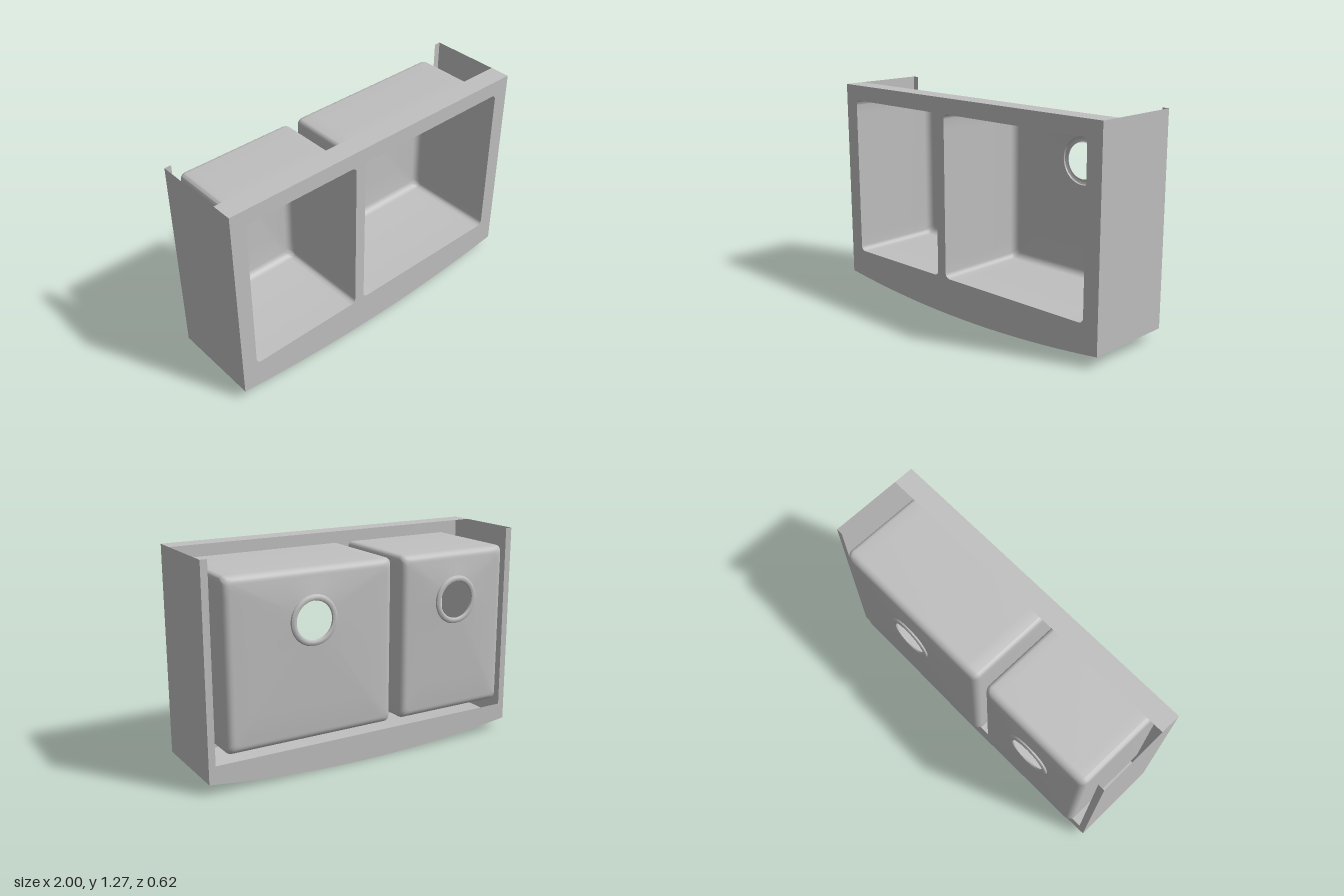
import * as THREE from 'three';
import { toCreasedNormals } from 'three/addons/utils/BufferGeometryUtils.js';

const FRONT = 0.31, BACK = -0.235, TOP = 1.275, SIDE_Y = 0.065;
const steel = new THREE.MeshStandardMaterial({ color: 0xc0c0c0, side: THREE.DoubleSide });
steel.name = 'brushed steel grey';

function part(name, geometry) {
  const mesh = new THREE.Mesh(geometry, steel);
  mesh.name = name;
  return mesh;
}

// Skin a list of equal-length point rows; closed rows wrap around
function skin(rows, closed) {
  const n = rows[0].length, index = [];
  for (let i = 0; i < rows.length - 1; i++) {
    for (let j = 0; j < (closed ? n : n - 1); j++) {
      const k = (j + 1) % n, a = i * n, b = a + n;
      index.push(a + j, b + j, a + k, a + k, b + j, b + k);
    }
  }
  const g = new THREE.BufferGeometry();
  g.setAttribute('position', new THREE.Float32BufferAttribute(rows.flat(2), 3));
  g.setIndex(index);
  return toCreasedNormals(g, 0.6);
}

// Rounded rectangle as evenly divided points, counter-clockwise
function roundedRect(x0, x1, y0, y1, r) {
  const corners = [[x1 - r, y0 + r, -0.5], [x1 - r, y1 - r, 0], [x0 + r, y1 - r, 0.5], [x0 + r, y0 + r, 1]];
  const pts = [];
  corners.forEach(([cx, cy, start], c) => {
    for (let i = 0; i <= 6; i++) {
      const a = (start + i / 12) * Math.PI;
      pts.push([cx + r * Math.cos(a), cy + r * Math.sin(a)]);
    }
    const [nx, ny, ns] = corners[(c + 1) % 4];
    const [ax, ay] = pts[pts.length - 1];
    const bx = nx + r * Math.cos(ns * Math.PI), by = ny + r * Math.sin(ns * Math.PI);
    for (let i = 1; i < 14; i++) pts.push([ax + (bx - ax) * i / 14, ay + (by - ay) * i / 14]);
  });
  return pts;
}

const bottomY = x => SIDE_Y * x * x;

// Points along the bowed lower edge, left to right
function bowedEdge() {
  return Array.from({ length: 33 }, (_, i) => {
    const x = -1 + i / 16;
    return new THREE.Vector2(x, bottomY(x));
  });
}

// Bowl: straight walls, rounded floor edge, floor sloping to a recessed open drain
function makeBowl(name, { x0, x1, y0, y1, drainX, drainY }) {
  const R = 0.045, rows = [];
  const ring = (inset, z) => roundedRect(x0 + inset, x1 - inset, y0 + inset, y1 - inset, 0.03).map(([x, y]) => [x, y, z]);
  rows.push(ring(0, FRONT));
  for (let i = 0; i <= 6; i++) {
    const a = i / 12 * Math.PI;
    rows.push(ring(R * (1 - Math.cos(a)), BACK - R * Math.sin(a)));
  }
  const edge = rows[rows.length - 1];
  const circle = (r, z) => edge.map(([x, y]) => {
    const a = Math.atan2(y - drainY, x - drainX);
    return [drainX + r * Math.cos(a), drainY + r * Math.sin(a), z];
  });
  const lip = circle(0.142, -0.296);
  for (const t of [0.33, 0.67]) {
    rows.push(edge.map((p, j) => p.map((v, k) => v + (lip[j][k] - v) * t)));
  }
  rows.push(lip);
  const group = new THREE.Group();
  group.name = name;
  group.add(part('bowlShell', skin(rows, true)));
  const drain = [[0.142, -0.296], [0.139, -0.304], [0.133, -0.308], [0.12, -0.31], [0.111, -0.306], [0.108, -0.298]];
  group.add(part('drainRing', skin(drain.map(([r, z]) => circle(r, z)), true)));
  return group;
}

export function createModel() {
  const model = new THREE.Group();
  model.name = 'doubleBowlSink';
  const bowls = [
    ['smallBowl', { x0: -0.908, x1: -0.187, y0: 0.22, y1: 1.183, drainX: -0.55, drainY: 0.9 }],
    ['largeBowl', { x0: -0.122, x1: 0.905, y0: 0.22, y1: 1.183, drainX: 0.39, drainY: 0.9 }],
  ];

  // Face panel with bowl openings
  const face = new THREE.Shape([...bowedEdge(), new THREE.Vector2(1, TOP), new THREE.Vector2(-1, TOP)]);
  for (const [name, b] of bowls) {
    face.holes.push(new THREE.Path(roundedRect(b.x0, b.x1, b.y0, b.y1, 0.03).map(p => new THREE.Vector2(...p))));
    model.add(makeBowl(name, b));
  }
  model.add(part('facePanel', new THREE.ShapeGeometry(face).translate(0, 0, FRONT)));

  // Bowed apron sheet
  const apron = [FRONT, BACK].map(z => bowedEdge().map(p => [p.x, p.y, z]));
  model.add(part('bowedApron', skin(apron, false)));

  // Thin side walls
  for (const s of [-1, 1]) {
    const wall = [FRONT, BACK].map(z => [[s, SIDE_Y, z], [s, TOP, z]]);
    model.add(part(s > 0 ? 'leftWall' : 'rightWall', skin(wall, false)));
  }

  // Short ledge along the top
  const ledge = [FRONT, 0.188].map(z => [[-1, TOP, z], [1, TOP, z]]);
  model.add(part('topLedge', skin(ledge, false)));

  // U-shaped return flange at the rear
  const inner = [[1, TOP], [0.96, TOP], [0.96, 0.165], [-0.96, 0.165], [-0.96, TOP], [-1, TOP]];
  const flange = new THREE.Shape([...bowedEdge(), ...inner.map(p => new THREE.Vector2(...p))]);
  model.add(part('rearFlange', new THREE.ShapeGeometry(flange).rotateY(Math.PI).translate(0, 0, BACK)));

  return model;
}
